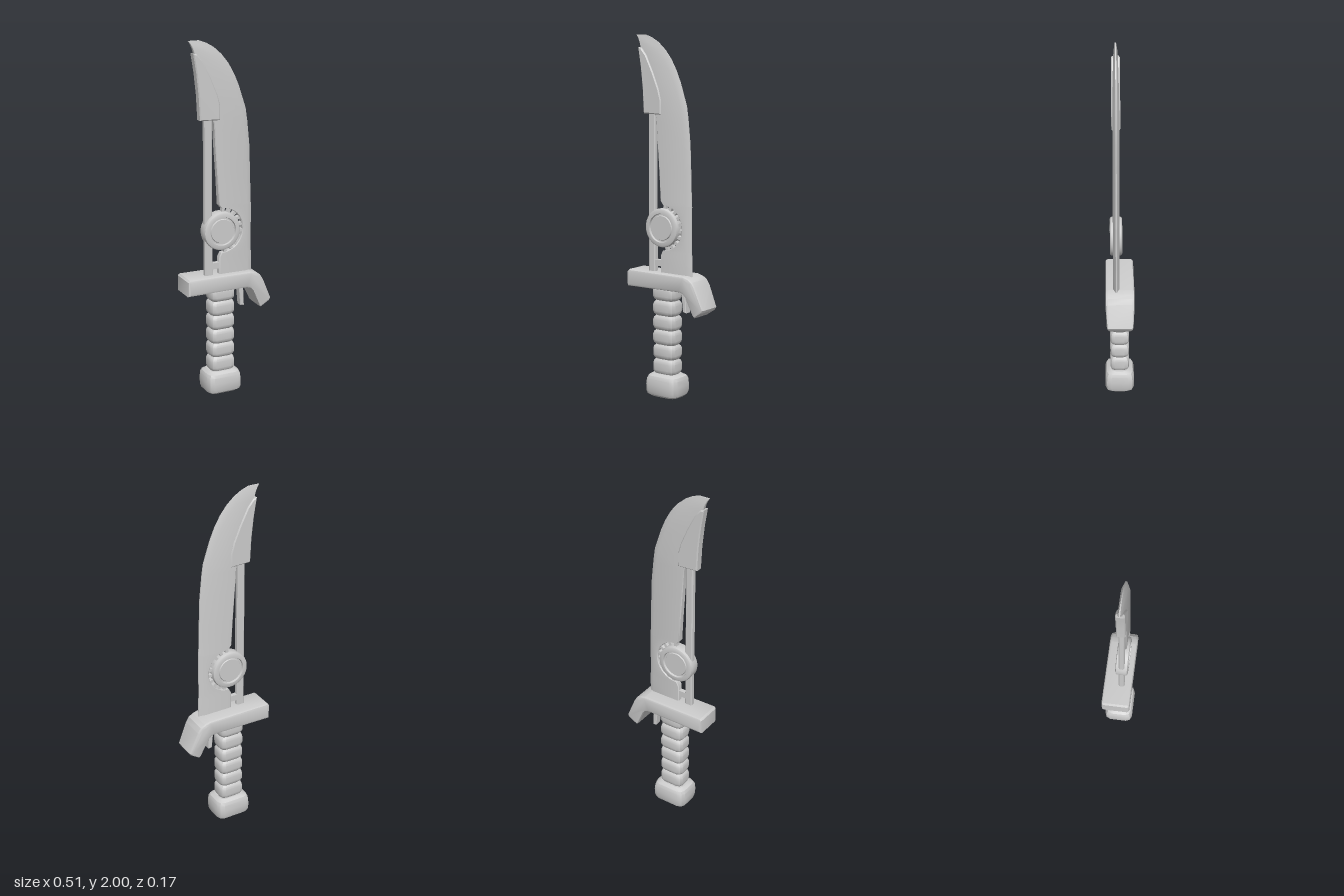
import * as THREE from 'three';
import { toCreasedNormals } from 'three/addons/utils/BufferGeometryUtils.js';

const BLADE_Z = 0.02;
const HUB = { x: -0.037, y: 0.952, r: 0.108 };
const GRIP_X = -0.03;

// Skin a stack of [x, z] rings at the given heights, with closed ends.
function loft(rings, heights) {
  const n = rings[0].length, pos = [], idx = [];
  rings.forEach((ring, i) => ring.forEach(([x, z]) => pos.push(x, heights[i], z)));
  for (let i = 0; i < rings.length - 1; i++) {
    for (let j = 0; j < n; j++) {
      const k = (j + 1) % n;
      const a = i * n + j, b = i * n + k, c = b + n, d = a + n;
      idx.push(a, d, c, a, c, b);
    }
  }
  for (const i of [0, rings.length - 1]) {
    const centre = pos.length / 3, ring = rings[i];
    pos.push(ring.reduce((s, p) => s + p[0], 0) / n, heights[i], ring.reduce((s, p) => s + p[1], 0) / n);
    for (let j = 0; j < n; j++) {
      const a = i * n + j, b = i * n + (j + 1) % n;
      if (i === 0) idx.push(centre, a, b); else idx.push(centre, b, a);
    }
  }
  const g = new THREE.BufferGeometry();
  g.setAttribute('position', new THREE.Float32BufferAttribute(pos, 3));
  g.setIndex(idx);
  return toCreasedNormals(g, 0.5);
}

// Rectangle ring with rounded corners.
function roundedRing(hx, hz, r, steps = 2) {
  const ring = [];
  [[1, 1], [-1, 1], [-1, -1], [1, -1]].forEach(([sx, sz], q) => {
    for (let s = 0; s <= steps; s++) {
      const a = (q + s / steps) * Math.PI / 2;
      ring.push([sx * (hx - r) + r * Math.cos(a), sz * (hz - r) + r * Math.sin(a)]);
    }
  });
  return ring;
}

// Bevelled slab from an outline, centred on z = 0.
function slab(points, depth, bevel, segments = 1) {
  const shape = new THREE.Shape(points.map(([x, y]) => new THREE.Vector2(x, y)));
  const g = new THREE.ExtrudeGeometry(shape, {
    depth: depth - 2 * bevel, bevelEnabled: true, bevelThickness: bevel,
    bevelSize: bevel, bevelOffset: -bevel, bevelSegments: segments,
  });
  g.translate(0, 0, bevel - depth / 2);
  return toCreasedNormals(g, 0.4);
}

function bladeGeometry() {
  // height, inner x, outer x, edge bevel width, half thickness
  const rows = [
    [0.66, -0.05, 0.15, 0.03, 0.018], [0.8, -0.05, 0.15, 0.03, 0.018],
    [1.1, -0.052, 0.146, 0.03, 0.018], [1.25, -0.06, 0.142, 0.03, 0.018],
    [1.42, -0.072, 0.136, 0.03, 0.018], [1.55, -0.08, 0.123, 0.03, 0.018],
    [1.62, -0.1, 0.113, 0.031, 0.018], [1.745, -0.145, 0.072, 0.033, 0.017],
    [1.81, -0.16, 0.044, 0.037, 0.016], [1.87, -0.172, 0.01, 0.042, 0.015],
    [1.92, -0.186, -0.03, 0.05, 0.013], [1.96, -0.198, -0.075, 0.06, 0.011],
    [1.985, -0.21, -0.118, 0.05, 0.007], [2.0, -0.222, -0.158, 0.03, 0.004],
  ];
  // Round bite in the inner edge that clears the hub
  const bite = HUB.r + 0.02;
  for (let i = 0; i <= 16; i++) {
    const a = -Math.PI / 2 + i * Math.PI / 16;
    const x = Math.max(-0.05, HUB.x + bite * Math.cos(a));
    rows.push([HUB.y + bite * Math.sin(a), x, 0.148, 0.03, 0.018]);
  }
  rows.sort((p, q) => p[0] - q[0]);
  const rings = rows.map(([, xl, xr, w, h]) => {
    const e = 0.003, b = h * 0.25;
    return [[xr, -e], [xr, e], [xr - w, h], [xl + b, h], [xl, h - b],
      [xl, b - h], [xl + b, -h], [xr - w, -h]];
  });
  return loft(rings, rows.map((r) => r[0]));
}

export function createModel() {
  const model = new THREE.Group();
  model.name = 'machete';
  const grey = new THREE.MeshStandardMaterial({ color: 0xcccccc });
  grey.name = 'light grey';

  function add(name, geometry, x = 0, y = 0, z = 0, parent = model) {
    const mesh = new THREE.Mesh(geometry, grey);
    mesh.name = name;
    mesh.position.set(x, y, z);
    parent.add(mesh);
    return mesh;
  }

  // Blade, its spine rod and the sheath plate near the tip
  add('blade', bladeGeometry(), 0, 0, BLADE_Z);
  add('spineRod', slab([[-0.135, 0.68], [-0.09, 0.68], [-0.09, 1.6], [-0.135, 1.6]], 0.032, 0.006), 0, 0, BLADE_Z);
  add('rodBridge', new THREE.BoxGeometry(0.06, 0.035, 0.026), -0.07, 0.753, BLADE_Z);
  add('tipPlate', slab([
    [-0.163, 1.575], [-0.045, 1.57], [-0.046, 1.65], [-0.062, 1.71], [-0.1, 1.8],
    [-0.145, 1.89], [-0.178, 1.93], [-0.2, 1.935], [-0.183, 1.83], [-0.17, 1.71],
  ], 0.048, 0.006), 0, 0, BLADE_Z);

  // Round hub with a raised rim and a centre cap on both faces
  const half = [[0, 0.029], [0.066, 0.029], [0.069, 0.023], [0.077, 0.023], [0.08, 0.034],
    [0.097, 0.034], [0.105, 0.03], [0.108, 0.022]];
  const outline = [...half.map(([r, z]) => [r, -z]), ...half.slice().reverse()];
  const hubGeometry = new THREE.LatheGeometry(outline.map(([r, z]) => new THREE.Vector2(r, z)), 40);
  hubGeometry.rotateX(Math.PI / 2);
  add('hub', toCreasedNormals(hubGeometry, 0.5), HUB.x, HUB.y, BLADE_Z);

  // Small teeth bridging the hub and the blade
  const teeth = new THREE.Group();
  teeth.name = 'hubTeeth';
  model.add(teeth);
  for (let i = 0; i < 10; i++) {
    const a = THREE.MathUtils.degToRad(-78 + i * 18);
    const r = HUB.r + 0.008;
    const tooth = add('hubTooth', new THREE.BoxGeometry(0.03, 0.017, 0.026),
      HUB.x + r * Math.cos(a), HUB.y + r * Math.sin(a), BLADE_Z, teeth);
    tooth.rotation.z = a;
  }

  // Cross guard with its drooping end, narrowing slightly toward the lower tip
  const guard = slab([
    [-0.255, 0.61], [0.1, 0.612], [0.122, 0.605], [0.138, 0.59], [0.182, 0.492], [0.194, 0.479],
    [0.246, 0.513], [0.254, 0.528], [0.203, 0.648], [0.185, 0.676], [0.16, 0.692], [0.128, 0.702],
    [-0.245, 0.705], [-0.255, 0.695],
  ], 0.16, 0.014, 2);
  const p = guard.attributes.position;
  for (let i = 0; i < p.count; i++) {
    const t = THREE.MathUtils.clamp((0.6 - p.getY(i)) / 0.12, 0, 1);
    p.setZ(i, p.getZ(i) * (1 - 0.14 * t));
  }
  add('guard', guard);
  add('trigger', slab([[0.076, 0.62], [0.088, 0.492], [0.11, 0.488], [0.104, 0.62]], 0.045, 0.004));

  // Grip of stacked cushions
  const grip = new THREE.Group();
  grip.name = 'grip';
  model.add(grip);
  const joints = [0.125, 0.213, 0.295, 0.378, 0.46, 0.545, 0.625];
  for (let i = 0; i < joints.length - 1; i++) {
    const y0 = joints[i], h = joints[i + 1] - y0;
    const profile = [[0, 0.012], [0.12, 0.004], [0.28, 0], [0.72, 0], [0.88, 0.004], [1, 0.012]];
    add('gripCushion', loft(profile.map(([, d]) => roundedRing(0.073 - d, 0.054 - d, 0.026)),
      profile.map(([t]) => y0 + t * h)), GRIP_X, 0, 0, grip);
  }

  // Pommel
  const pommel = [[0, 0.02], [0.012, 0.006], [0.03, 0.001], [0.065, 0], [0.1, 0.003], [0.117, 0.01], [0.13, 0.028]];
  add('pommel', loft(pommel.map(([, d]) => roundedRing(0.105 - d, 0.083 - d, 0.034)),
    pommel.map(([y]) => y)), GRIP_X);

  return model;
}
